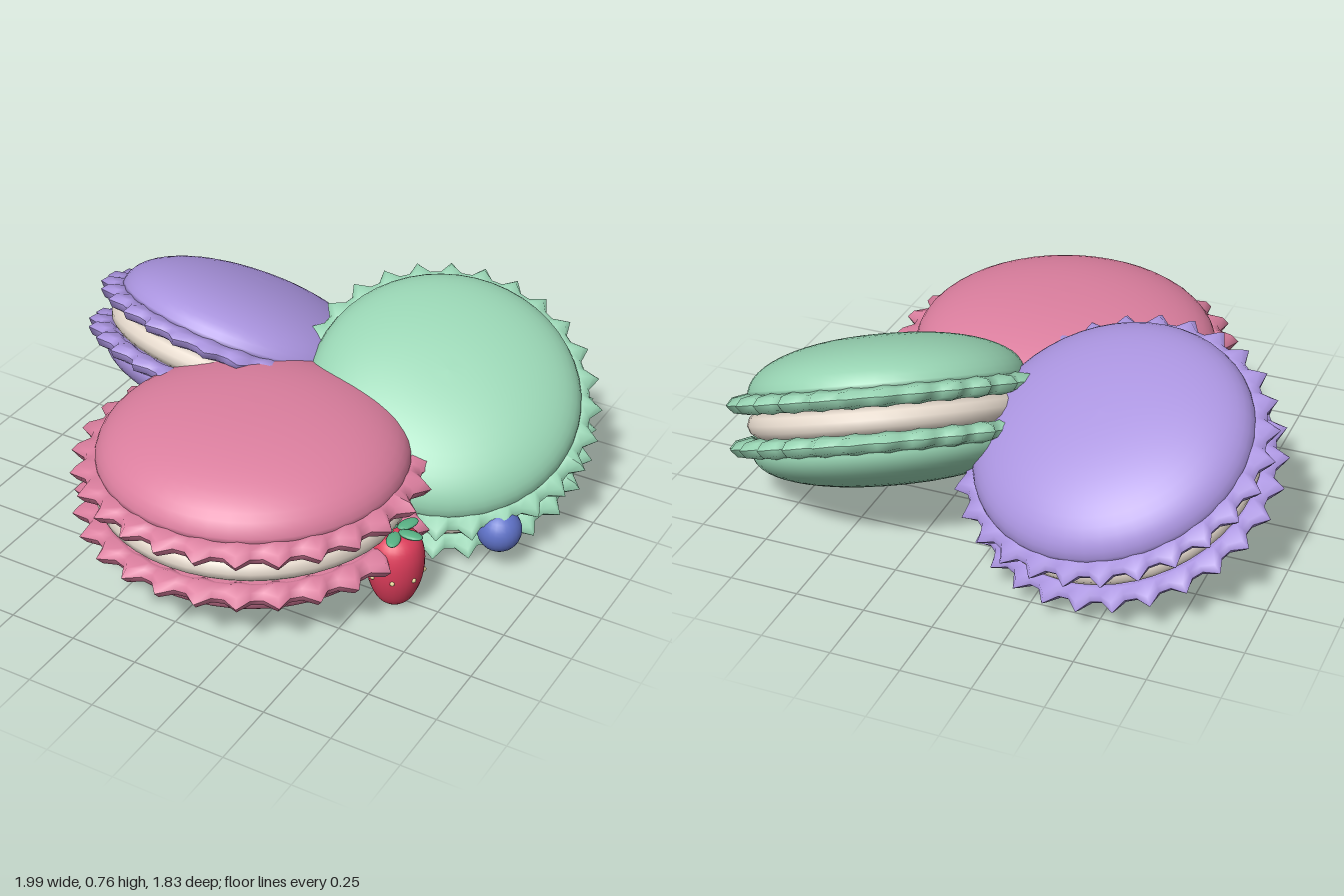
import * as THREE from 'three';

const mat = (name, color) => {
  const m = new THREE.MeshStandardMaterial({ color });
  m.name = name;
  return m;
};

function add(parent, name, geometry, material, pos = [0, 0, 0]) {
  const mesh = new THREE.Mesh(geometry, material);
  mesh.name = name;
  mesh.position.set(...pos);
  parent.add(mesh);
  return mesh;
}

// Domed shell, rising from a flat base; a negative height points it downwards
function domeGeometry(radius, height) {
  const pts = [new THREE.Vector2(0, 0)];
  const n = 14;
  for (let i = 0; i <= n; i++) {
    const a = (i / n) * Math.PI / 2;
    pts.push(new THREE.Vector2(radius * Math.pow(Math.cos(a), 0.92), height * Math.pow(Math.sin(a), 0.9)));
  }
  pts[pts.length - 1].x = 0;
  return new THREE.LatheGeometry(height > 0 ? pts : pts.reverse(), 48);
}

// Ring whose outer edge is pulled into pointed ruffles
function frillGeometry(teeth = 28) {
  const R = 0.55, tube = 0.04;
  const g = new THREE.TorusGeometry(R, tube, 8, teeth * 3);
  g.rotateX(-Math.PI / 2);
  const p = g.attributes.position;
  for (let i = 0; i < p.count; i++) {
    const x = p.getX(i), z = p.getZ(i), r = Math.hypot(x, z);
    const wave = Math.cos(teeth * Math.atan2(z, x));
    const out = Math.max(0, (r - R) / tube);
    const k = (r + out * (0.015 + 0.033 * wave)) / r;
    p.setXYZ(i, x * k, p.getY(i) * (0.93 + 0.1 * wave), z * k);
  }
  g.computeVertexNormals();
  return g;
}

// One filled biscuit, leaning so that its axis points along "axis"
function macaron(name, shell, cream, pos, axis, scale) {
  const g = new THREE.Group();
  g.name = name;
  add(g, 'upperShell', domeGeometry(0.55, 0.21), shell, [0, 0.105, 0]);
  add(g, 'lowerShell', domeGeometry(0.55, -0.175), shell, [0, -0.105, 0]);
  for (const s of [1, -1]) {
    add(g, s > 0 ? 'upperFrill' : 'lowerFrill', frillGeometry(), shell, [0, s * 0.085, 0]);
    add(g, 'shellBase', new THREE.CylinderGeometry(0.55, 0.55, 0.06, 48), shell, [0, s * 0.085, 0]);
  }
  const rim = [[0, -0.055], [0.52, -0.055], [0.55, -0.03], [0.56, 0], [0.55, 0.03], [0.52, 0.055], [0, 0.055]];
  add(g, 'creamFilling', new THREE.LatheGeometry(rim.map(q => new THREE.Vector2(...q)), 48), cream);
  g.position.set(...pos);
  g.quaternion.setFromUnitVectors(new THREE.Vector3(0, 1, 0), new THREE.Vector3(...axis).normalize());
  g.scale.setScalar(scale);
  return g;
}

function strawberry(red, leafGreen, seedColor) {
  const g = new THREE.Group();
  g.name = 'strawberry';
  const profile = [[0, 0], [0.035, 0.008], [0.064, 0.035], [0.085, 0.08], [0.098, 0.13], [0.102, 0.18],
    [0.098, 0.225], [0.083, 0.265], [0.05, 0.292], [0, 0.3]].map(q => new THREE.Vector2(...q));
  const smooth = new THREE.SplineCurve(profile).getPoints(27);
  smooth[0].x = smooth[smooth.length - 1].x = 0;
  add(g, 'berryBody', new THREE.LatheGeometry(smooth, 28), red);
  // Seeds
  for (let i = 0; i < 8; i++) {
    const a = (i + 0.5) * Math.PI / 4;
    add(g, 'seed', new THREE.SphereGeometry(0.009, 8, 6), seedColor,
      [Math.cos(a) * 0.099, 0.145, Math.sin(a) * 0.099]);
  }
  // Leaves
  for (let i = 0; i < 5; i++) {
    const a = i * Math.PI * 2 / 5;
    const leaf = add(g, 'leaf', new THREE.SphereGeometry(1, 12, 8), leafGreen,
      [Math.cos(a) * 0.055, 0.298, Math.sin(a) * 0.055]);
    leaf.scale.set(0.046, 0.01, 0.025);
    leaf.rotation.y = -a;
  }
  g.position.set(0.588, 0.01, 0.267);
  return g;
}

export function createModel() {
  const pink = mat('pink shell', 0xdc7f9f);
  const green = mat('mint shell', 0x98d4b3);
  const purple = mat('lavender shell', 0xaa94df);
  const cream = mat('cream', 0xe6dacd);
  const red = mat('berry red', 0xdc3c5a);
  const blue = mat('berry blue', 0x5f72c8);
  const leafGreen = mat('leaf green', 0x58b184);
  const seedColor = mat('seed', 0xf0dfa0);

  const model = new THREE.Group();
  model.name = 'macarons';
  model.add(
    macaron('pinkMacaron', pink, cream, [0.02, 0.32, 0.26], [0, 1, 0], 1),
    macaron('mintMacaron', green, cream, [0.43, 0.39, -0.38], [0.257, 0.875, 0.412], 0.89),
    macaron('lavenderMacaron', purple, cream, [-0.42, 0.39, -0.36], [0.135, 0.9, -0.41], 0.89),
    strawberry(red, leafGreen, seedColor)
  );
  // Blueberry
  add(model, 'blueberry', new THREE.SphereGeometry(0.08, 24, 16), blue, [0.81, 0.17, -0.09]);
  return model;
}
